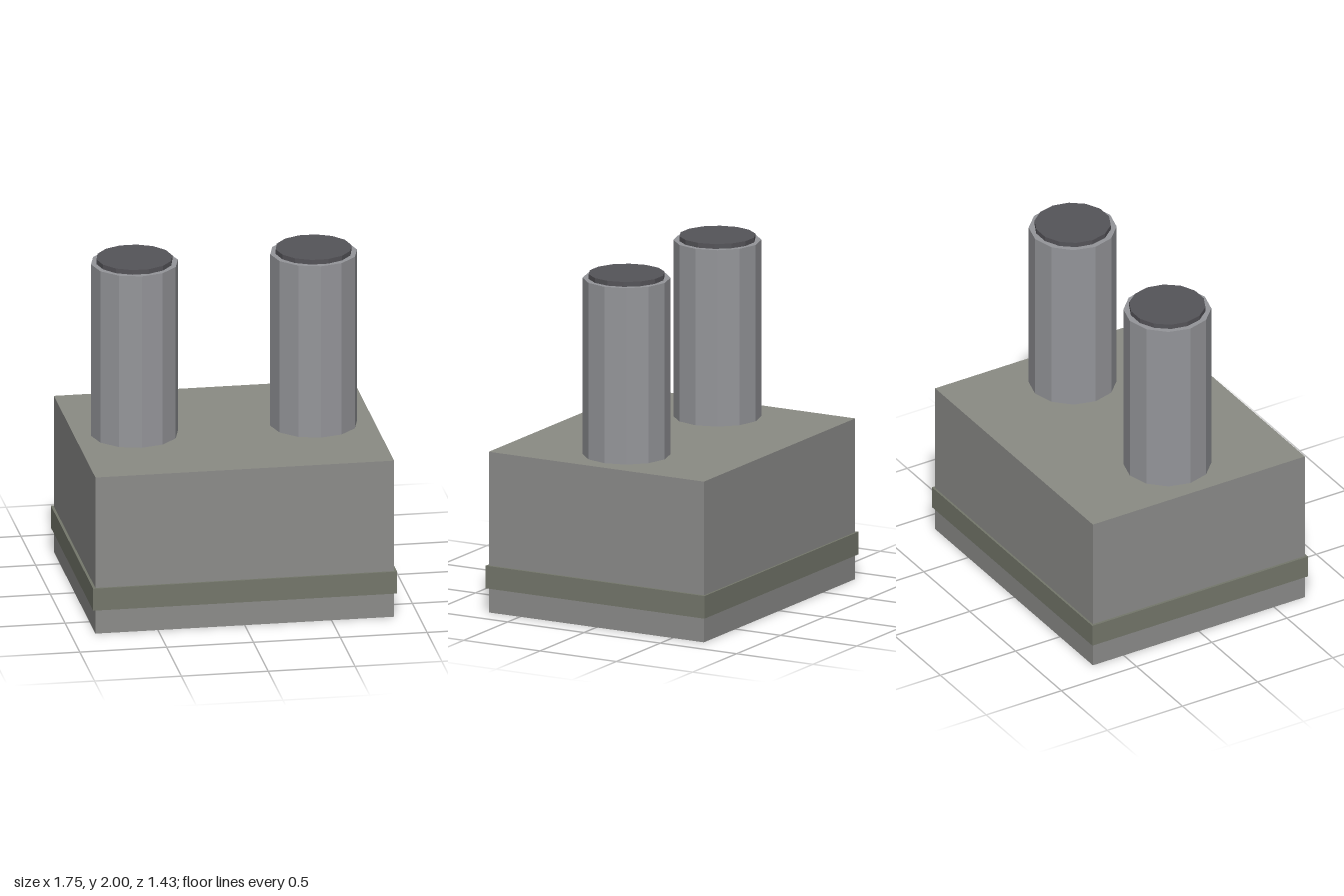
import * as THREE from 'three';

const paint = (color) => new THREE.MeshStandardMaterial({ color, flatShading: true });

export function createModel() {
  const model = new THREE.Group();
  const wall = paint(0x8c8c8a), roof = paint(0x8b8c84), trim = paint(0x74776b);
  const metal = paint(0x95969a), dark = paint(0x555459);

  const add = (parent, name, geometry, material, x, y, z) => {
    const mesh = new THREE.Mesh(geometry, material);
    mesh.name = name;
    mesh.position.set(x, y, z);
    parent.add(mesh);
    return mesh;
  };

  // main block, with its top face in the roof colour
  add(model, 'body', new THREE.BoxGeometry(1.72, 0.94, 1.41),
    [wall, wall, roof, wall, wall, wall], 0, 0.47, 0);

  // raised band around the lower part of the block
  add(model, 'band', new THREE.BoxGeometry(1.75, 0.132, 1.435), trim, 0, 0.209, 0);

  // two stacks, each with a slightly narrower dark cap
  for (const [side, name] of [[1, 'left'], [-1, 'right']]) {
    const stack = new THREE.Group();
    stack.name = name + 'Stack';
    stack.position.x = side * 0.516;
    model.add(stack);
    add(stack, name + 'Pipe', new THREE.CylinderGeometry(0.25, 0.25, 1.04, 12), metal, 0, 1.452, 0);
    const cap = add(stack, name + 'Cap', new THREE.CylinderGeometry(0.218, 0.218, 0.04, 14), dark, 0, 1.98, 0);
    cap.rotation.y = Math.PI / 2;
  }

  return model;
}
